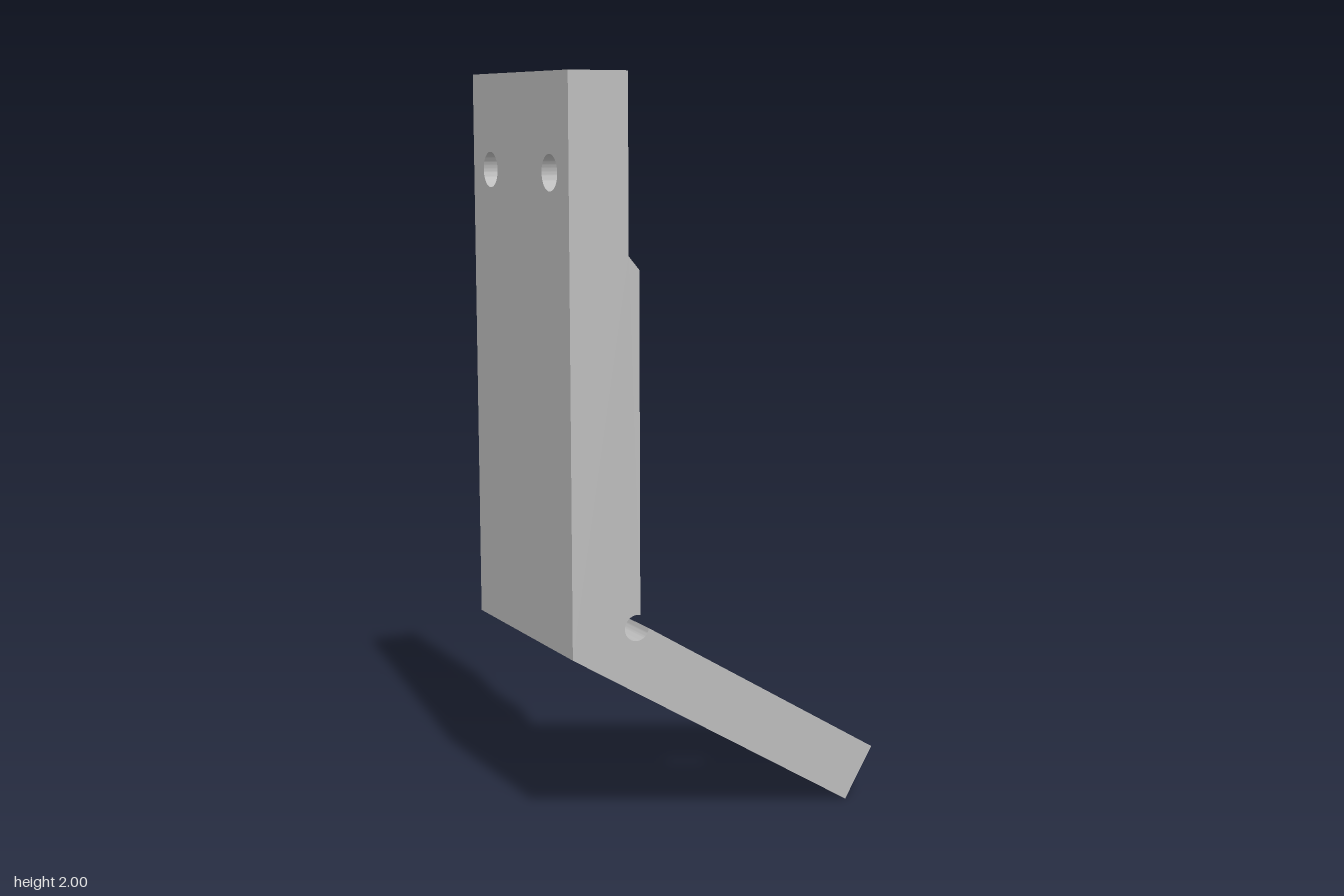
import * as THREE from 'three';
import { toCreasedNormals } from 'three/addons/utils/BufferGeometryUtils.js';

const HALF_W = 0.3;                      // half width of the bracket along z
const BACK = -0.465, PAD = -0.27, THIN = -0.3; // x of back, padded and thin faces
const STEP_Y = 1.54, CORNER_Y = 0.512;
const TOE_X = 0.375, THICK = 0.164;      // lower toe corner and foot thickness
const TILT = Math.atan2(CORNER_Y, TOE_X - BACK);
const FOOT = 0.7, BORE_U = -0.354, BORE_DEPTH = 0.033;

const steel = new THREE.MeshStandardMaterial({ color: 0xbcbcbc });
steel.name = 'plain grey';

function extrude(name, shape, depth) {
  const geo = new THREE.ExtrudeGeometry(shape, { depth, bevelEnabled: false, curveSegments: 32 });
  const mesh = new THREE.Mesh(toCreasedNormals(geo, 0.5), steel);
  mesh.name = name;
  return mesh;
}

function rectangle(x0, x1, y0, y1) {
  return new THREE.Shape([[x0, y0], [x1, y0], [x1, y1], [x0, y1]].map(p => new THREE.Vector2(...p)));
}

function circle(x, y, r) {
  return new THREE.Path().absarc(x, y, r, 0, Math.PI * 2, true);
}

// Point on the sloping foot: u along the slope from the toe, n above its underside
function footPoint(u, n) {
  return [TOE_X + u * Math.cos(TILT) + n * Math.sin(TILT), -u * Math.sin(TILT) + n * Math.cos(TILT)];
}

// Side profile of the upright and bend, with the round relief in the inner corner
function bendProfile(notched) {
  const s = new THREE.Shape();
  s.moveTo(THIN, STEP_Y);
  s.lineTo(BACK, STEP_Y);
  s.lineTo(BACK, CORNER_Y);
  s.lineTo(...footPoint(-FOOT, 0));
  s.lineTo(...footPoint(-FOOT, THICK));
  s.absarc(-0.28, 0.575, 0.035, THREE.MathUtils.degToRad(-7.5), THREE.MathUtils.degToRad(-286.6), true);
  if (notched) {
    s.lineTo(PAD, 0.725);
    s.lineTo(-0.345, 0.725);
    s.lineTo(-0.345, 1.055);
    s.lineTo(PAD, 1.055);
  }
  s.lineTo(PAD, 1.505);
  s.closePath();
  return s;
}

export function createModel() {
  const model = new THREE.Group();
  model.name = 'angleBracket';

  // Upright and bend: full section, then the section with the side notch
  const body = extrude('uprightBody', bendProfile(false), HALF_W + 0.18);
  body.position.z = -0.18;
  const notch = extrude('notchedEdge', bendProfile(true), HALF_W - 0.18);
  notch.position.z = -HALF_W;
  model.add(body, notch);

  // Thin top plate with two mounting holes
  const topShape = rectangle(-HALF_W, HALF_W, STEP_Y, 2);
  for (const side of [-1, 1]) topShape.holes.push(circle(side * 0.187, 1.748, 0.047));
  const topPlate = extrude('mountingPlate', topShape, THIN - BACK);
  topPlate.rotation.y = Math.PI / 2;
  topPlate.position.x = BACK;
  model.add(topPlate);

  // Sloping foot: slotted lower layer below a round counterbore
  const foot = new THREE.Group();
  foot.name = 'foot';
  foot.position.x = TOE_X;
  foot.rotation.z = -TILT;

  const slotShape = rectangle(-FOOT, 0, -HALF_W, HALF_W);
  const slot = new THREE.Path();
  slot.absarc(BORE_U + 0.07, 0, 0.083, -Math.PI / 2, Math.PI / 2, false);
  slot.absarc(BORE_U - 0.07, 0, 0.083, Math.PI / 2, Math.PI * 1.5, false);
  slot.closePath();
  slotShape.holes.push(slot);
  const slotLayer = extrude('slottedLayer', slotShape, THICK - BORE_DEPTH);

  const boreShape = rectangle(-FOOT, 0, -HALF_W, HALF_W);
  boreShape.holes.push(circle(BORE_U, 0, 0.198));
  const boreLayer = extrude('counterboreLayer', boreShape, BORE_DEPTH);
  boreLayer.position.y = THICK - BORE_DEPTH;

  for (const layer of [slotLayer, boreLayer]) {
    layer.rotation.x = -Math.PI / 2;
    foot.add(layer);
  }
  model.add(foot);
  return model;
}
